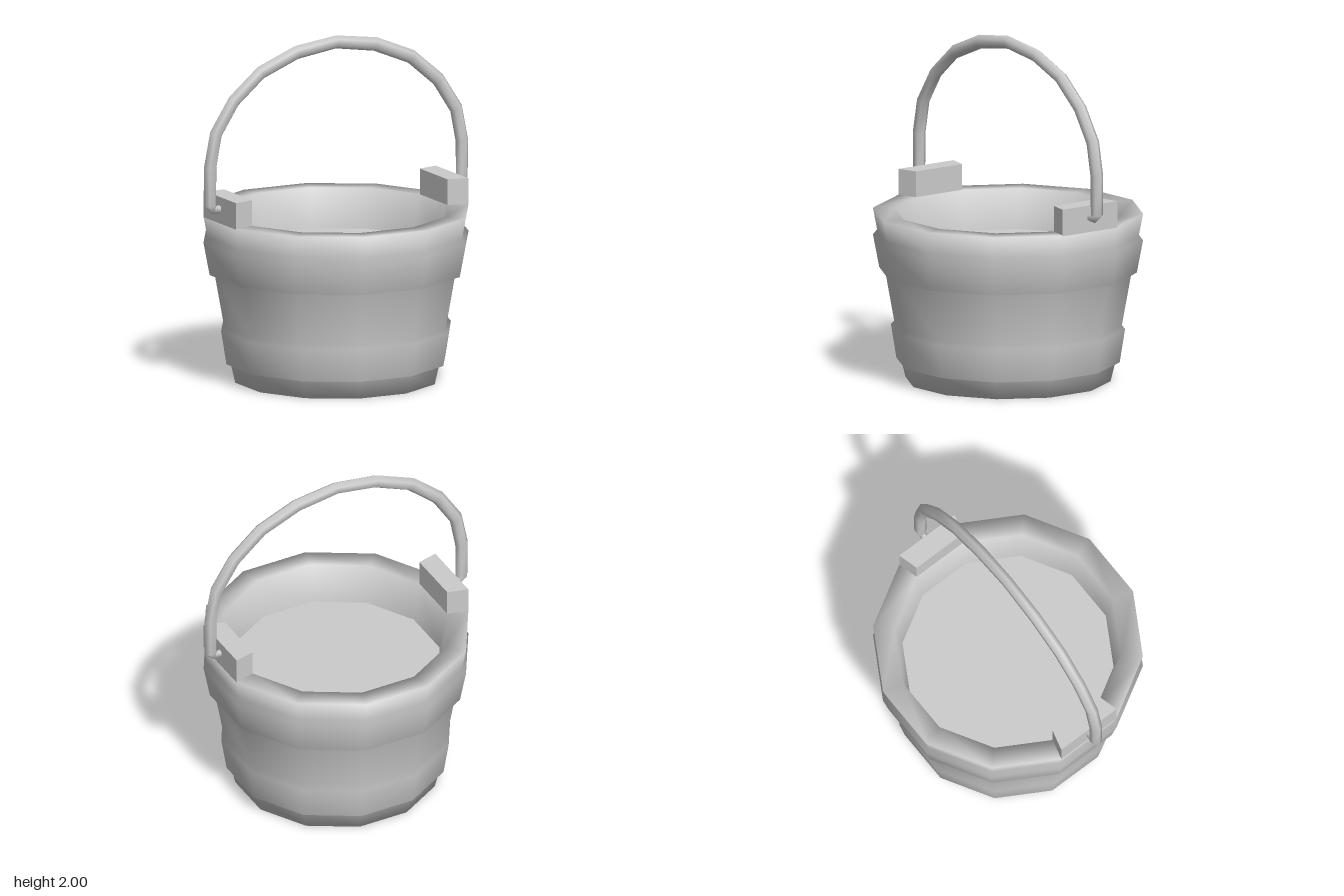
import * as THREE from 'three';

const SIDES = 12;
const APOTHEM = Math.cos(Math.PI / SIDES); // profile radii are measured to the flat sides

export function createModel() {
  const group = new THREE.Group();
  const material = new THREE.MeshStandardMaterial({ color: 0xcccccc });
  const add = (name, geometry) => {
    const mesh = new THREE.Mesh(geometry, material);
    mesh.name = name;
    group.add(mesh);
    return mesh;
  };

  // Tapered wall with two raised bands, a thick rim and a hollow inside
  const profile = [
    [0.46, 0.03], [0.46, 0], [0.57, 0], [0.593, 0.1],
    [0.62, 0.11], [0.65, 0.305], [0.632, 0.325],
    [0.685, 0.63], [0.715, 0.635], [0.75, 0.825], [0.727, 0.855],
    [0.75, 0.98], [0.63, 0.98], [0.587, 0.75],
  ].map(([r, y]) => new THREE.Vector2(r / APOTHEM, y));
  add('bucketWall', new THREE.LatheGeometry(profile, SIDES, Math.PI / SIDES));

  // Flat discs closing the inside and the underside
  const disc = (r, y, facing) => new THREE.CircleGeometry(r / APOTHEM, SIDES, Math.PI / SIDES)
    .rotateX(-facing * Math.PI / 2).translate(0, y, 0);
  add('innerFloor', disc(0.587, 0.75, 1));
  add('underside', disc(0.46, 0.03, -1));

  // Lugs that hold the handle, one wall segment wide
  const lugShape = new THREE.Shape([[0.63, -0.169], [0.75, -0.201], [0.75, 0.201], [0.63, 0.169]]
    .map(([x, y]) => new THREE.Vector2(x, y)));
  const lug = new THREE.ExtrudeGeometry(lugShape, { depth: 0.155, bevelEnabled: false })
    .rotateX(-Math.PI / 2).translate(0, 0.975, 0);
  add('leftLug', lug);
  add('rightLug', lug).rotation.y = Math.PI;

  add('handle', handleGeometry());
  return group;
}

// Six-sided bar swept along a mirrored arch, with thin hooked ends
function handleGeometry() {
  const half = [ // x, y, radius
    [0.74, 1.06, 0.022], [0.79, 1.057, 0.024], [0.812, 1.085, 0.038], [0.812, 1.31, 0.04],
    [0.775, 1.5, 0.04], [0.66, 1.68, 0.04], [0.485, 1.83, 0.04], [0.255, 1.925, 0.04],
  ];
  const path = [...half, [0, 1.962, 0.038], ...half.map(([x, y, r]) => [-x, y, r]).reverse()];
  const n = 6, positions = [], indices = [];
  path.forEach(([x, y, r], j) => {
    const a = path[Math.max(j - 1, 0)], b = path[Math.min(j + 1, path.length - 1)];
    const out = new THREE.Vector2(b[1] - a[1], a[0] - b[0]).normalize();
    for (let i = 0; i < n; i++) {
      const t = i / n * Math.PI * 2, c = Math.cos(t) * r;
      positions.push(x + out.x * c, y + out.y * c, Math.sin(t) * r * 0.88);
      if (j === path.length - 1) continue;
      const p = j * n + i, q = j * n + (i + 1) % n;
      indices.push(p, p + n, q, q, p + n, q + n);
    }
  });
  const geometry = new THREE.BufferGeometry();
  geometry.setAttribute('position', new THREE.Float32BufferAttribute(positions, 3));
  geometry.setIndex(indices);
  geometry.computeVertexNormals();
  return geometry;
}
